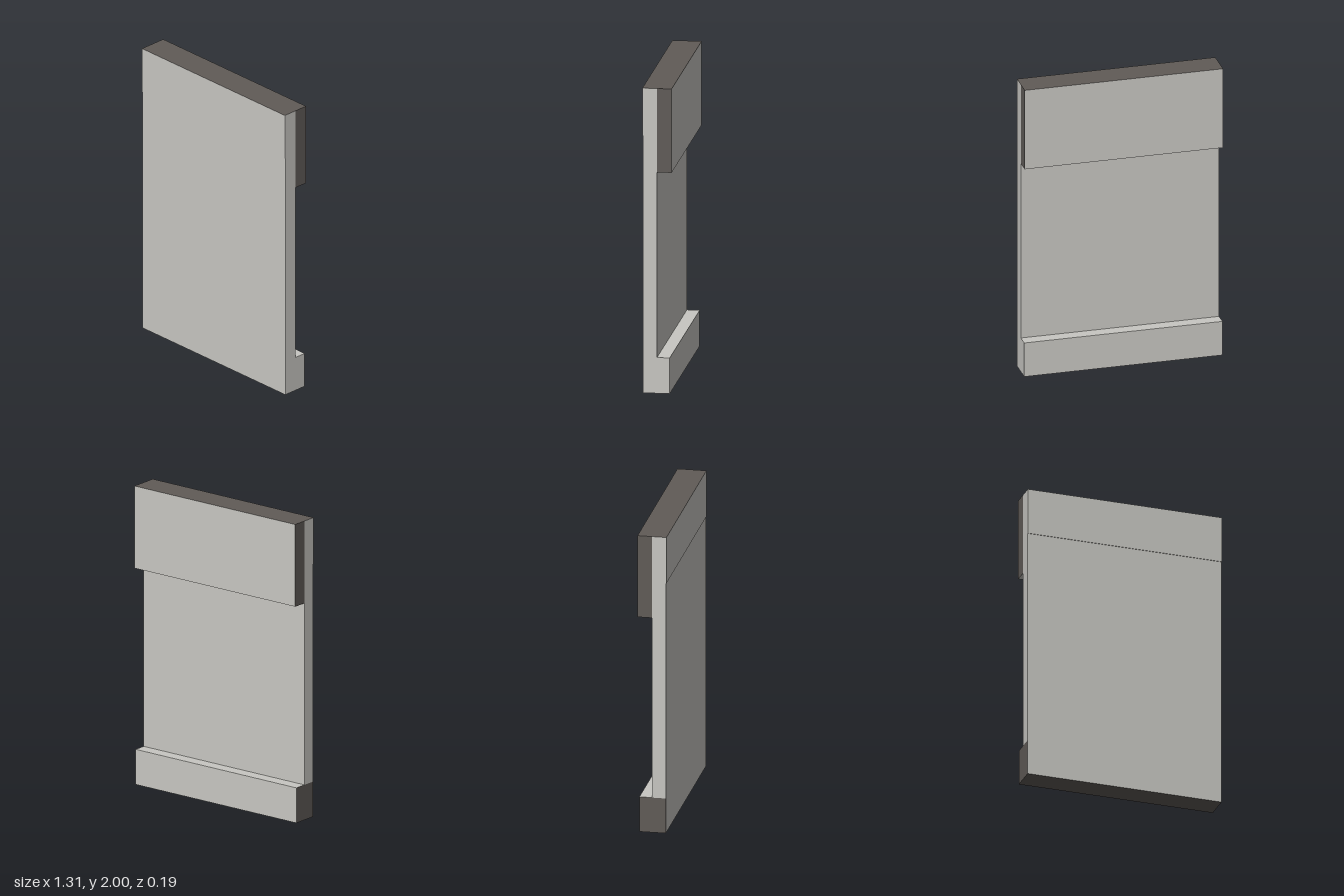
import * as THREE from 'three';

export function createModel() {
  const model = new THREE.Group();
  const light = new THREE.MeshStandardMaterial({ name: 'pale stone', color: 0xc8c7c2 });
  const dark = new THREE.MeshStandardMaterial({ name: 'dark stone', color: 0x605b57 });
  const halfWidth = 0.655;

  // Full-width slab between two heights and two depths.
  // Face order of materials: +x, -x, top, bottom, front, back.
  function slab(name, y0, y1, z0, z1, materials) {
    const geometry = new THREE.BoxGeometry(halfWidth * 2, y1 - y0, z1 - z0);
    geometry.translate(0, (y0 + y1) / 2, (z0 + z1) / 2);
    const mesh = new THREE.Mesh(geometry, materials);
    mesh.name = name;
    model.add(mesh);
  }

  // Thick foot with a dark underside and one dark end
  slab('foot', 0, 0.235, -0.082, 0.09, [light, dark, light, dark, light, light]);
  // Thin wall panel
  slab('panel', 0.235, 1.69, 0, 0.09, light);
  // Slightly proud band along the top of the panel
  slab('topBand', 1.69, 2, 0, 0.094, [light, light, dark, light, light, light]);
  // Heavy block behind the top, with dark ends and top
  slab('rearBlock', 1.45, 2, -0.094, 0, [dark, dark, dark, light, light, light]);

  return model;
}
